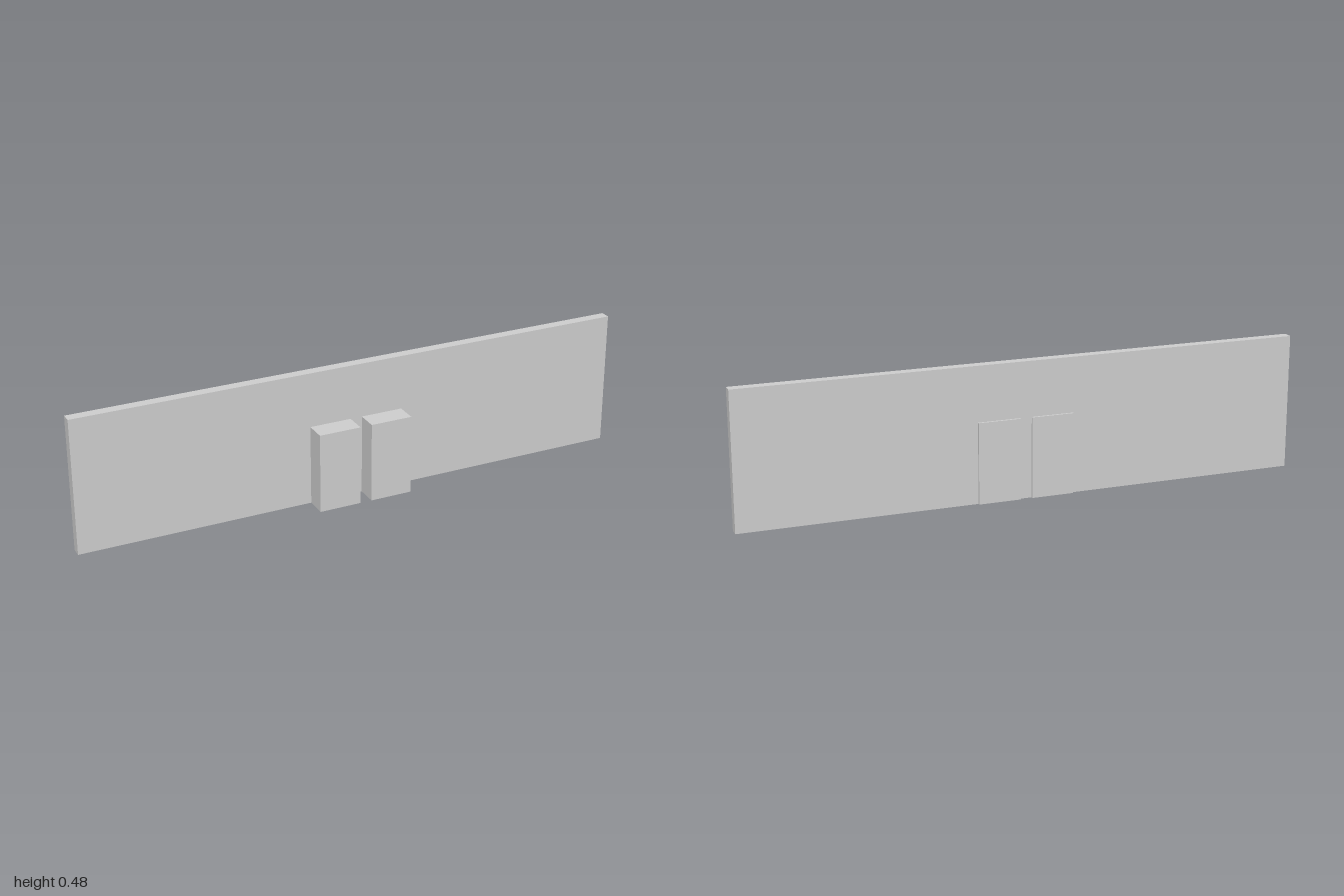
import * as THREE from 'three';

export function createModel() {
  const group = new THREE.Group();
  const material = new THREE.MeshStandardMaterial({ color: 0xcccccc, flatShading: true });

  // Box standing on the ground, centred on x and z
  function addBox(name, width, height, depth, x, z) {
    const mesh = new THREE.Mesh(new THREE.BoxGeometry(width, height, depth), material);
    mesh.name = name;
    mesh.position.set(x, height / 2, z);
    group.add(mesh);
  }

  // Long thin wall
  addBox('wall', 2, 0.48, 0.036, 0, -0.034);

  // Pair of blocks passing through the wall, side by side
  for (const [name, side] of [['leftBlock', 1], ['rightBlock', -1]]) {
    addBox(name, 0.15, 0.285, 0.12, side * 0.096, 0);
  }

  return group;
}
